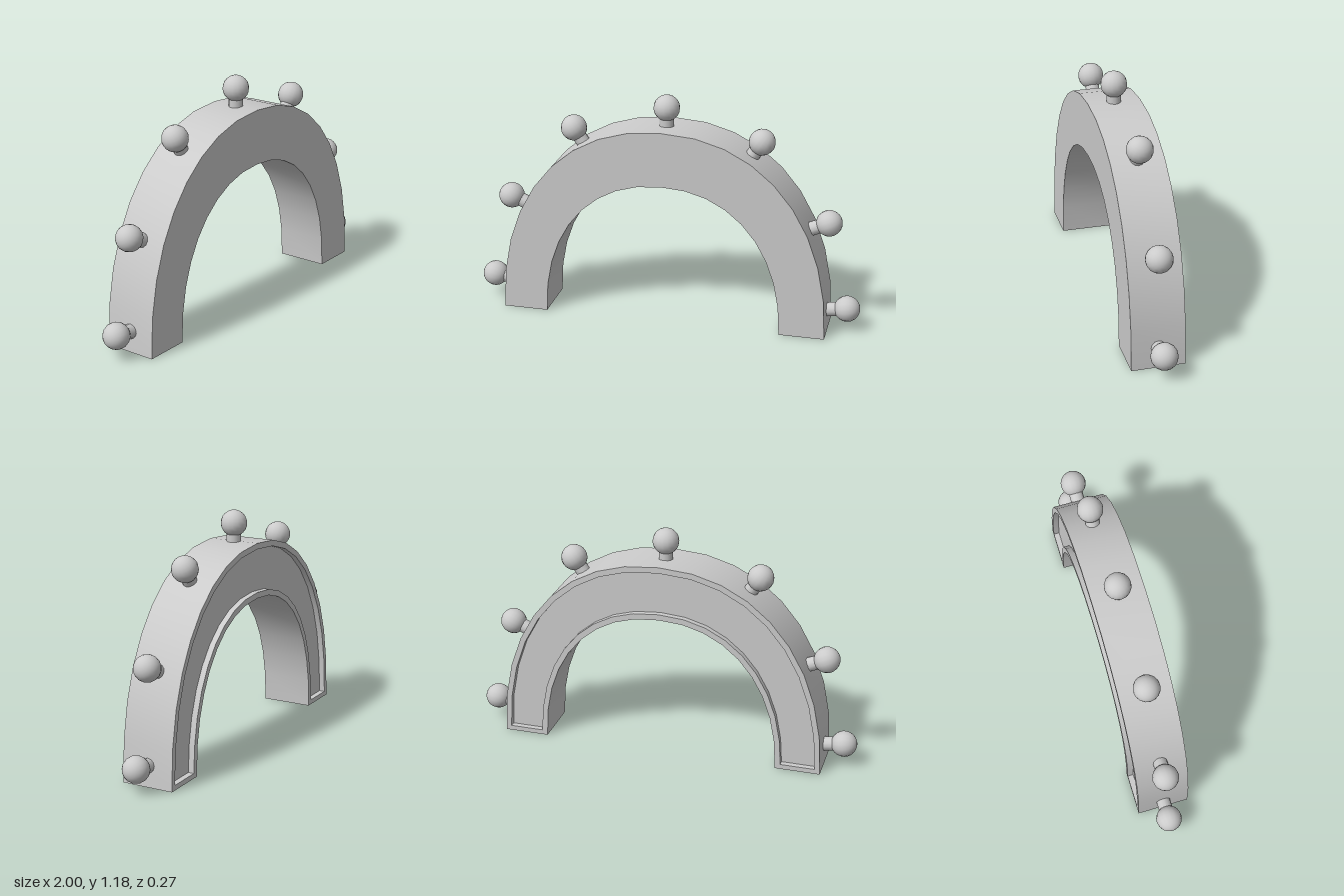
import * as THREE from 'three';
import { toCreasedNormals } from 'three/addons/utils/BufferGeometryUtils.js';

const STEPS = 18;   // segments around the arch
const HALF = 0.133; // half depth
const DEEP = 0.103; // depth of the recessed back panel
const SILL = 0.025; // height of the rim below the panel

// Slightly squared half ellipse from +x over the top to -x
function archCurve(halfWidth, height, z, base = 0) {
  const points = [];
  for (let i = 0; i <= STEPS; i++) {
    const angle = (i / STEPS) * Math.PI;
    const c = Math.cos(angle);
    const x = Math.sign(c) * Math.pow(Math.abs(c), 0.909) * halfWidth;
    const y = Math.pow(Math.max(0, Math.sin(angle)), 0.909) * height;
    points.push(new THREE.Vector3(x, Math.max(y, base), z));
  }
  return points;
}

// Joins neighbouring rows of points with quads
function skin(rows) {
  const positions = [];
  for (let r = 0; r < rows.length - 1; r++) {
    for (let i = 0; i < rows[r].length - 1; i++) {
      const a = rows[r][i], b = rows[r + 1][i];
      const c = rows[r + 1][i + 1], d = rows[r][i + 1];
      for (const p of [a, b, d, b, c, d]) positions.push(p.x, p.y, p.z);
    }
  }
  const geometry = new THREE.BufferGeometry();
  geometry.setAttribute('position', new THREE.Float32BufferAttribute(positions, 3));
  return toCreasedNormals(geometry, 0.5);
}

export function createModel() {
  const model = new THREE.Group();
  const material = new THREE.MeshStandardMaterial({ color: 0xcccccc });
  const shellMaterial = new THREE.MeshStandardMaterial({ color: 0xcccccc, side: THREE.DoubleSide });

  function add(parent, name, geometry, mat = material) {
    const mesh = new THREE.Mesh(geometry, mat);
    mesh.name = name;
    parent.add(mesh);
    return mesh;
  }

  // Hollow arch, open underneath, with a recessed panel in its back
  const outer = z => archCurve(0.84, 1.02, z);
  const inner = z => archCurve(0.61, 0.74, z);
  const rimOuter = z => archCurve(0.812, 0.99, z, SILL);
  const rimInner = z => archCurve(0.638, 0.77, z, SILL);
  add(model, 'archShell', skin([
    inner(HALF), outer(HALF), outer(-HALF), rimOuter(-HALF), rimOuter(-DEEP),
    rimInner(-DEEP), rimInner(-HALF), inner(-HALF), inner(HALF),
  ]), shellMaterial);

  // Sills closing the panel recess at the feet
  for (const [name, end] of [['leftSill', 0], ['rightSill', STEPS]]) {
    const row = (...curves) => curves.map(c => c[end]).sort((p, q) => p.x - q.x);
    const rows = [
      row(inner(-HALF), outer(-HALF)),
      row(rimInner(-HALF), rimOuter(-HALF)),
      row(rimInner(-DEEP), rimOuter(-DEEP)),
    ];
    // Row order keeps the rim facing backwards
    add(model, name, skin(rows), shellMaterial);
  }

  // Ball knobs on short stems: x, y of the ball and lean from horizontal in degrees
  const ball = new THREE.SphereGeometry(0.066, 16, 12);
  const stem = new THREE.CylinderGeometry(0.036, 0.036, 0.14, 12);
  stem.translate(0, -0.07, 0);
  function addKnob(name, x, y, lean) {
    const knob = new THREE.Group();
    knob.name = name;
    add(knob, 'ball', ball);
    add(knob, 'stem', stem);
    knob.position.set(x, y, 0);
    knob.rotation.z = THREE.MathUtils.degToRad(lean - 90);
    model.add(knob);
  }
  const knobs = [[0.934, 0.12, 8], [0.825, 0.575, 23], [0.48, 0.97, 57]];
  knobs.forEach(([x, y, lean], i) => {
    addKnob(`leftKnob${i + 1}`, x, y, lean);
    addKnob(`rightKnob${i + 1}`, -x, y, 180 - lean);
  });
  addKnob('topKnob', 0, 1.11, 90);

  return model;
}
